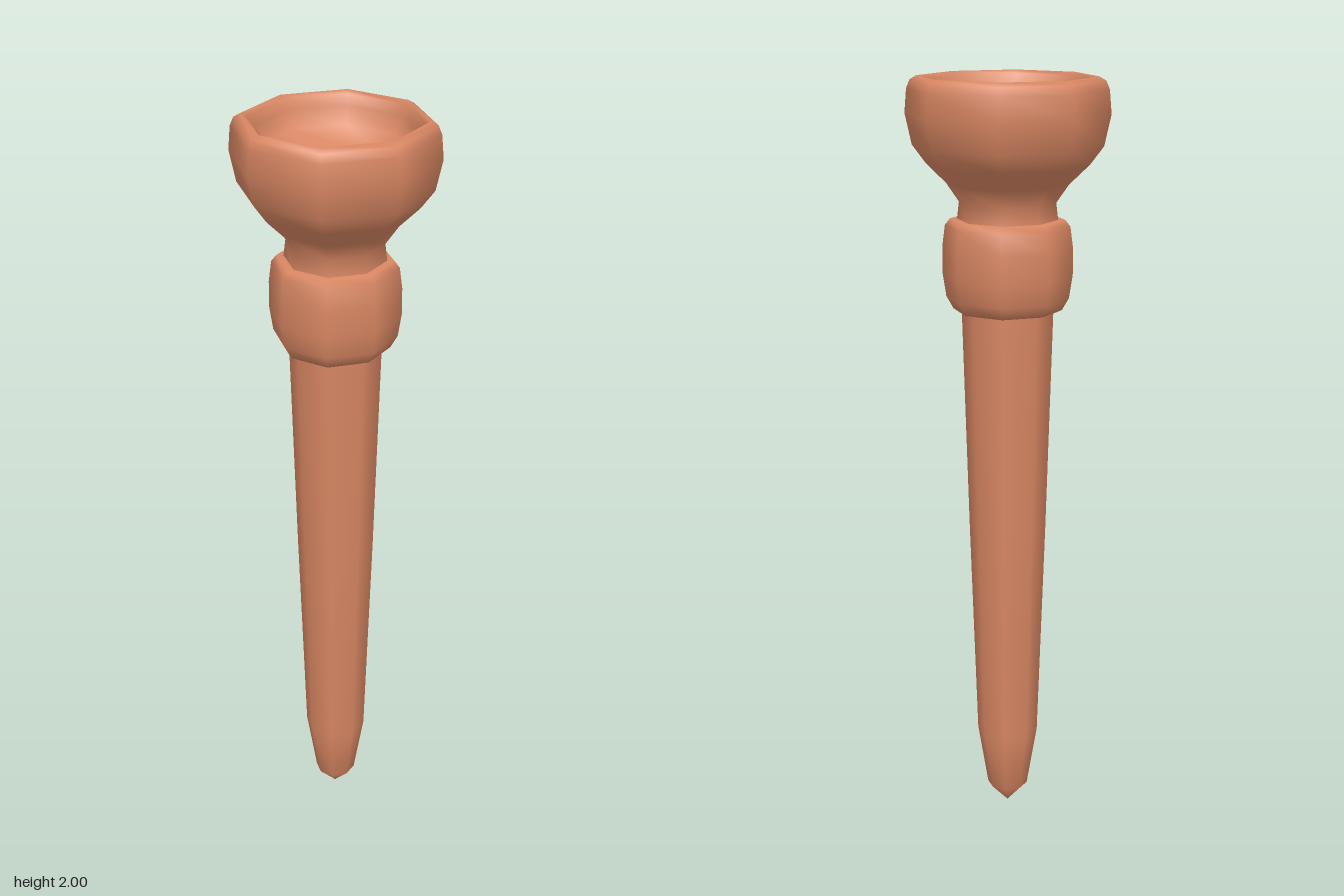
import * as THREE from 'three';

const SIDES = 8;

export function createModel() {
  const model = new THREE.Group();
  model.name = 'peg';
  const material = new THREE.MeshStandardMaterial({ color: 0xd98763 });

  // Smooth-shaded eight-sided turning; the diagonal corners sit slightly further out
  function turned(name, profile) {
    const points = profile.map(([r, y]) => new THREE.Vector2(r, y));
    const geometry = new THREE.LatheGeometry(points, SIDES);
    const p = geometry.attributes.position;
    for (let i = 0; i < p.count; i++) {
      const diagonal = Math.floor(i / points.length) % 2 === 1;
      if (diagonal) p.setXYZ(i, p.getX(i) * 1.02, p.getY(i), p.getZ(i) * 1.02);
    }
    const mesh = new THREE.Mesh(geometry, material);
    mesh.name = name;
    model.add(mesh);
  }

  // Long tapered shaft with a blunt point
  turned('shaft', [[0, 0.005], [0.053, 0.06], [0.08, 0.225], [0.1, 0.82], [0.117, 1.41]]);

  // Rounded band around the top of the shaft
  turned('collar', [
    [0.1, 1.4], [0.138, 1.408], [0.156, 1.44], [0.165, 1.5], [0.165, 1.57],
    [0.158, 1.625], [0.145, 1.642], [0.1, 1.642],
  ]);

  // Narrow neck flaring into a cup, turning over the rim into a shallow hollow
  turned('cup', [
    [0.128, 1.635], [0.122, 1.685], [0.154, 1.732], [0.205, 1.782], [0.239, 1.828],
    [0.256, 1.907], [0.251, 1.968], [0.242, 1.99], [0.225, 2], [0.212, 1.992],
    [0.203, 1.965], [0.188, 1.92], [0.13, 1.888], [0.06, 1.875], [0, 1.872],
  ]);

  return model;
}
